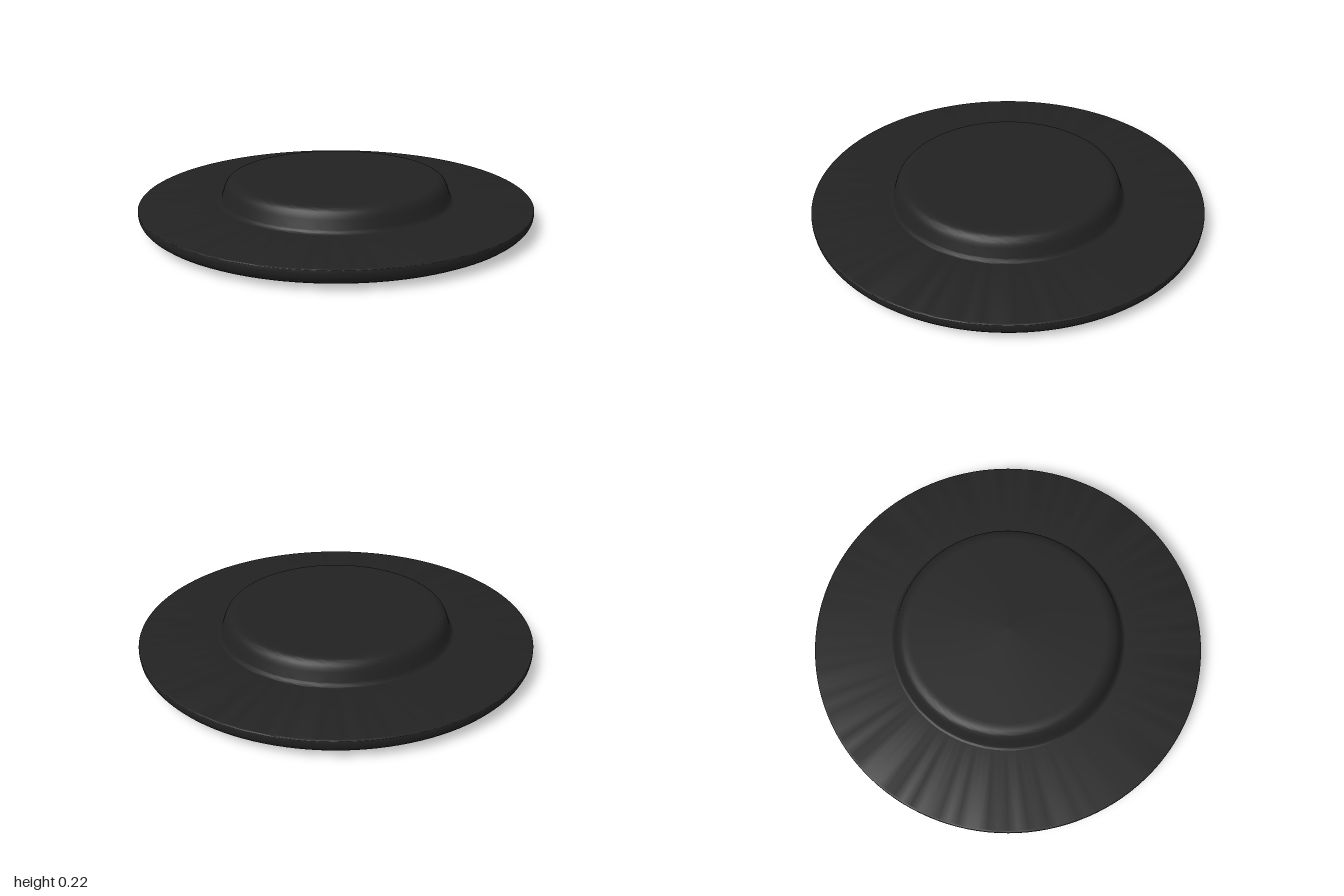
import * as THREE from 'three';
import { toCreasedNormals } from 'three/addons/utils/BufferGeometryUtils.js';

const material = new THREE.MeshStandardMaterial({ color: 0x222222 });

// Turns a profile path (radius, height) into a round part with crisp edges kept
function turned(name, path) {
  const lathe = new THREE.LatheGeometry(path.getPoints(10), 128);
  const mesh = new THREE.Mesh(toCreasedNormals(lathe, 0.6), material);
  mesh.name = name;
  return mesh;
}

export function createModel() {
  const group = new THREE.Group();
  group.name = 'steppedDisc';

  // Wide base: flat underside, rounded lower edge, flat top ledge
  const base = new THREE.Path();
  base.moveTo(0, 0);
  base.lineTo(0.82, 0);
  base.bezierCurveTo(0.93, 0.004, 1, 0.03, 1, 0.085);
  base.lineTo(1, 0.097);
  base.quadraticCurveTo(1, 0.104, 0.99, 0.104);
  base.lineTo(0.59, 0.104);
  group.add(turned('baseDisc', base));

  // Raised centre: small fillet at the foot, sloping side, rounded shoulder
  const hub = new THREE.Path();
  hub.moveTo(0.605, 0.104);
  hub.quadraticCurveTo(0.592, 0.107, 0.586, 0.125);
  hub.lineTo(0.573, 0.165);
  hub.bezierCurveTo(0.56, 0.2, 0.545, 0.217, 0.5, 0.217);
  hub.lineTo(0, 0.217);
  group.add(turned('raisedCentre', hub));

  return group;
}
